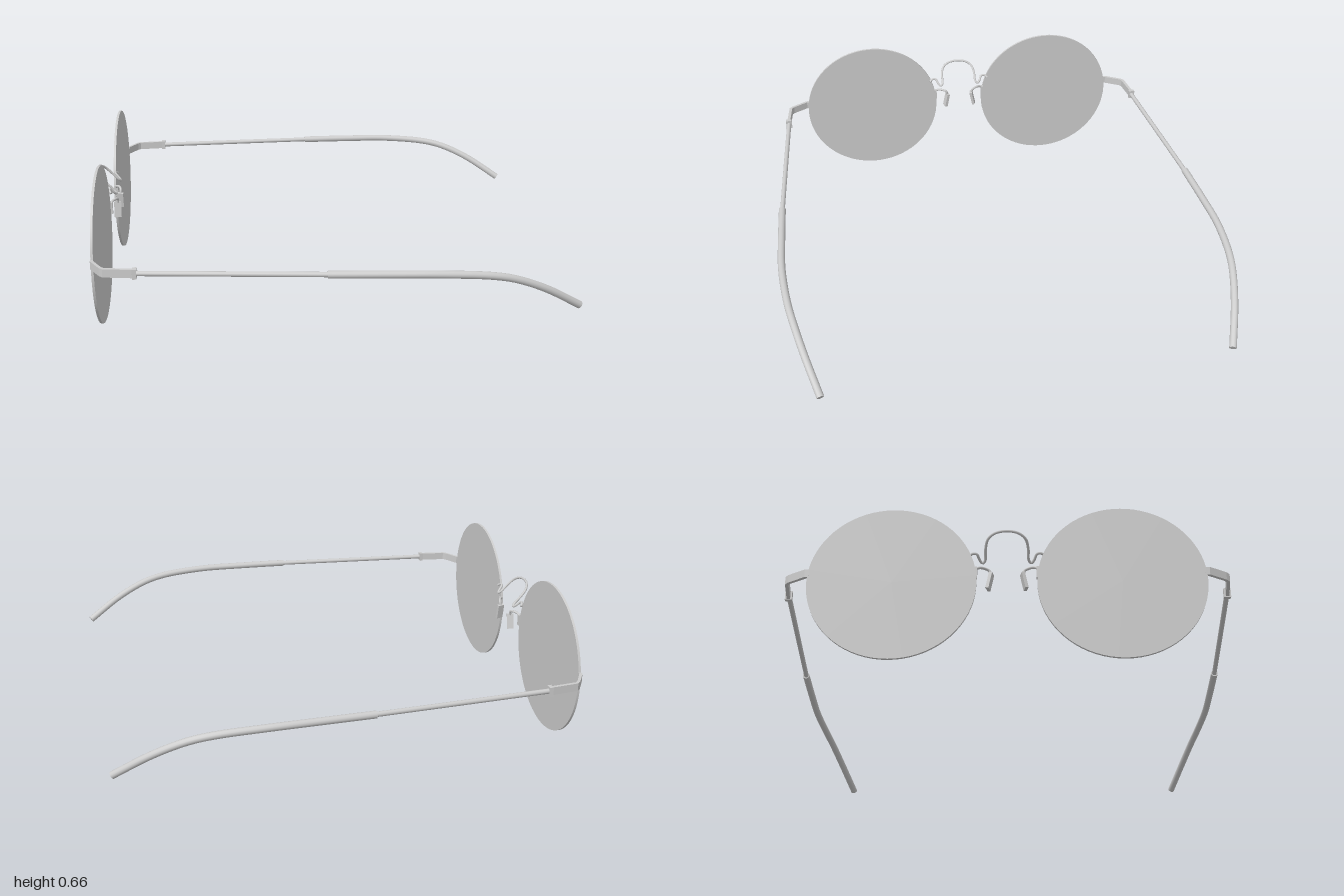
import * as THREE from 'three';

const grey = new THREE.MeshStandardMaterial({ color: 0xcccccc });

function add(parent, name, geometry) {
  const mesh = new THREE.Mesh(geometry, grey);
  mesh.name = name;
  parent.add(mesh);
  return mesh;
}

// Round wire through [x, y, z] points with flat end caps; s mirrors z
function wire(parent, name, points, radius, s = 1, segments = 40, sides = 12) {
  const curve = new THREE.CatmullRomCurve3(points.map(([x, y, z]) => new THREE.Vector3(x, y, z * s)));
  const group = new THREE.Group();
  group.name = name;
  add(group, name + 'Wire', new THREE.TubeGeometry(curve, segments, radius, sides));
  for (const t of [0, 1]) {
    const cap = add(group, name + 'Cap', new THREE.CircleGeometry(radius, sides));
    const p = curve.getPointAt(t);
    cap.position.copy(p);
    cap.lookAt(p.clone().addScaledVector(curve.getTangentAt(t), t ? 1 : -1));
  }
  parent.add(group);
}

function buildSide(s) {
  const side = new THREE.Group();
  side.name = s > 0 ? 'leftHalf' : 'rightHalf';

  // Thin round lens
  const lens = add(side, 'lens', new THREE.CylinderGeometry(0.328, 0.328, 0.01, 72));
  lens.rotation.z = Math.PI / 2;
  lens.position.set(-0.94, 0.33, 0.445 * s);

  // Flat bent strip joining lens and temple
  const outline = [
    [-0.946, 0.765], [-0.946, 0.782], [-0.905, 0.852], [-0.89, 0.867], [-0.77, 0.882],
    [-0.77, 0.868], [-0.884, 0.854], [-0.896, 0.844], [-0.934, 0.778], [-0.934, 0.765],
  ];
  const strip = new THREE.Shape(outline.map(([x, z]) => new THREE.Vector2(x, z * s)));
  const endPiece = add(side, 'endPiece', new THREE.ExtrudeGeometry(strip, { depth: 0.034, bevelEnabled: false }));
  endPiece.rotation.x = Math.PI / 2;
  endPiece.position.y = 0.389;

  // Hinge block
  const hinge = add(side, 'hinge', new THREE.BoxGeometry(0.016, 0.04, 0.028));
  hinge.position.set(-0.767, 0.372, 0.875 * s);

  // Slim temple rod and thicker curved ear tip
  wire(side, 'temple', [[-0.775, 0.372, 0.874], [-0.4, 0.372, 0.902], [-0.02, 0.372, 0.93]], 0.0105, s, 8);
  wire(side, 'earTip', [
    [-0.03, 0.372, 0.93], [0.2, 0.371, 0.94], [0.4, 0.368, 0.945], [0.6, 0.352, 0.931],
    [0.7, 0.329, 0.914], [0.83, 0.272, 0.882], [0.983, 0.177, 0.833],
  ], 0.0155, s, 32);

  // Clip on the lens edge, nose pad arm and tilted pad
  const clip = add(side, 'padClip', new THREE.BoxGeometry(0.016, 0.05, 0.012));
  clip.position.set(-0.934, 0.375, 0.121 * s);
  wire(side, 'padArm', [
    [-0.936, 0.392, 0.122], [-0.928, 0.402, 0.105], [-0.915, 0.405, 0.085],
    [-0.909, 0.399, 0.069], [-0.91, 0.378, 0.062],
  ], 0.0055, s, 24, 8);
  const pad = add(side, 'nosePad', new THREE.BoxGeometry(0.03, 0.07, 0.013));
  pad.position.set(-0.911, 0.35, 0.067 * s);
  pad.rotation.set(-0.2 * s, 0.25 * s, 0);
  return side;
}

export function createModel() {
  const model = new THREE.Group();
  model.name = 'roundSpectacles';
  model.add(buildSide(1), buildSide(-1));

  // Arched bridge, bent in one sloping plane: [z, y]
  const half = [
    [0.148, 0.452], [0.135, 0.461], [0.118, 0.46], [0.106, 0.442], [0.095, 0.433],
    [0.085, 0.442], [0.083, 0.475], [0.073, 0.503], [0.045, 0.52],
  ];
  const arch = [...half, [0, 0.526], ...half.map(([z, y]) => [-z, y]).reverse()];
  wire(model, 'bridge', arch.map(([z, y]) => [-0.995 + (0.526 - y) * 0.93, y, z]), 0.0055, 1, 90, 8);
  return model;
}
